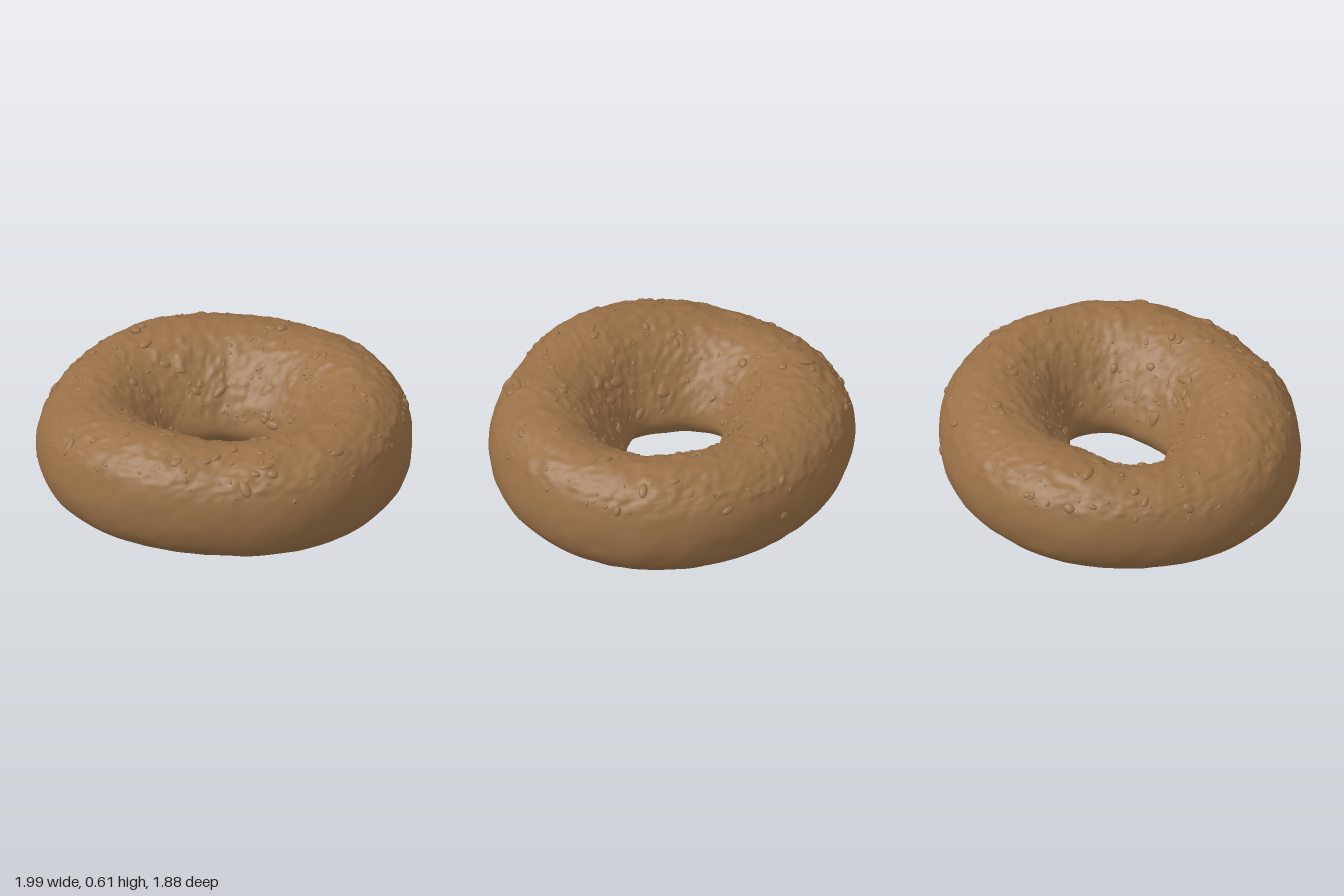
import * as THREE from 'three';
import { mergeGeometries } from 'three/addons/utils/BufferGeometryUtils.js';

// Values every 30 degrees around the ring, starting at +x and turning towards +z
const OUTER = [0.995, 1, 0.98, 0.935, 0.95, 0.995, 0.995, 0.975, 0.975, 0.945, 0.945, 0.97];
const INNER = [0.34, 0.32, 0.25, 0.24, 0.27, 0.26, 0.30, 0.33, 0.25, 0.235, 0.235, 0.28];
const HEIGHT = [0.59, 0.59, 0.585, 0.575, 0.605, 0.56, 0.515, 0.53, 0.565, 0.56, 0.57, 0.59];

// Cross-section: share of the way from hole to rim, share of the height
const PROFILE = new THREE.CatmullRomCurve3([
  [0.15, 0.025], [0.45, 0.015], [0.76, 0.02], [0.86, 0.055], [0.95, 0.18], [1, 0.43],
  [0.965, 0.69], [0.9, 0.83], [0.8, 0.93], [0.63, 1], [0.46, 0.975], [0.3, 0.86],
  [0.16, 0.66], [0.05, 0.44], [0, 0.25], [0.05, 0.11],
].map(([t, h]) => new THREE.Vector3(t, h, 0)), true);

function ringValue(list, u) {
  const n = list.length, f = (((u % 1) + 1) % 1) * n, i = Math.floor(f), k = f - i;
  const [a, b, c, d] = [-1, 0, 1, 2].map((o) => list[(i + o + n) % n]);
  return b + 0.5 * k * (c - a + k * (2 * a - 5 * b + 4 * c - d + k * (3 * (b - c) + d - a)));
}

function seeded(seed) {
  let s = seed;
  return () => {
    s = (s * 1664525 + 1013904223) % 4294967296;
    return s / 4294967296;
  };
}

// Smooth value noise between -1 and 1
function hash(x, y, z) {
  let h = Math.imul(x, 374761393) ^ Math.imul(y, 668265263) ^ Math.imul(z, 1440662683);
  h = Math.imul(h ^ (h >>> 13), 1274126177);
  return ((h ^ (h >>> 16)) >>> 0) / 2147483648 - 1;
}
function noise(p, freq) {
  const c = [p.x * freq, p.y * freq, p.z * freq];
  const i = c.map(Math.floor);
  const w = c.map((v, k) => THREE.MathUtils.smoothstep(v - i[k], 0, 1));
  let sum = 0;
  for (let k = 0; k < 8; k++) {
    const b = [k & 1, (k >> 1) & 1, k >> 2];
    const weight = b.reduce((m, on, j) => m * (on ? w[j] : 1 - w[j]), 1);
    sum += weight * hash(i[0] + b[0], i[1] + b[1], i[2] + b[2]);
  }
  return sum;
}

// The underside lifts slightly towards the back
function basePoint(u, v) {
  const p = PROFILE.getPoint(((v % 1) + 1) % 1);
  const r = THREE.MathUtils.lerp(ringValue(INNER, u), ringValue(OUTER, u), p.x);
  const a = u * Math.PI * 2, z = r * Math.sin(a);
  const lift = 0.025 * Math.max(0, -z) * (1 - p.y);
  return new THREE.Vector3(r * Math.cos(a), p.y * ringValue(HEIGHT, u) + lift, z);
}

function baseNormal(u, v) {
  const e = 0.002;
  const du = basePoint(u + e, v).sub(basePoint(u - e, v));
  const dv = basePoint(u, v + e).sub(basePoint(u, v - e));
  return dv.cross(du).normalize();
}

// Skin: gentle lumps all over, finer bumps on the upper side
function skinPoint(u, v) {
  const p = basePoint(u, v), n = baseNormal(u, v);
  const top = THREE.MathUtils.smoothstep(n.y, 0.1, 0.7);
  const bottom = THREE.MathUtils.smoothstep(-n.y, 0.5, 0.95);
  const lumps = 0.007 * noise(p, 5) * (1 - 0.7 * bottom) + 0.003 * noise(p, 14);
  const bumps = top * (0.012 * Math.max(0, noise(p, 24)) + 0.005 * noise(p, 42));
  p.addScaledVector(n, lumps + bumps);
  p.y = Math.max(0, p.y);
  return p;
}

function ringGeometry(around, across) {
  const positions = [], index = [];
  for (let i = 0; i < around; i++) {
    for (let j = 0; j < across; j++) {
      positions.push(...skinPoint(i / around, j / across).toArray());
      const i2 = (i + 1) % around, j2 = (j + 1) % across;
      const a = i * across + j, b = i * across + j2;
      const c = i2 * across + j2, d = i2 * across + j;
      index.push(a, b, d, b, c, d);
    }
  }
  const g = new THREE.BufferGeometry();
  g.setAttribute('position', new THREE.Float32BufferAttribute(positions, 3));
  g.setIndex(index);
  g.computeVertexNormals();
  return g;
}

// Crumbs: flat pebbles sunk into the skin
function crumbGeometry(count) {
  const rand = seeded(41), list = [];
  const up = new THREE.Vector3(0, 1, 0);
  while (list.length < count) {
    const u = rand(), v = 0.3 + 0.55 * rand();
    const n = baseNormal(u, v);
    if (n.y < 0.35 && rand() > 0.12) continue;
    const size = 0.008 + 0.02 * Math.pow(rand(), 4);
    const scale = new THREE.Vector3(size * (1 + rand()), size * 0.6, size * (0.8 + 0.4 * rand()));
    const turn = new THREE.Quaternion().setFromUnitVectors(up, n)
      .multiply(new THREE.Quaternion().setFromAxisAngle(up, rand() * Math.PI * 2));
    const g = new THREE.SphereGeometry(1, 10, 6);
    g.applyMatrix4(new THREE.Matrix4().compose(skinPoint(u, v), turn, scale));
    list.push(g);
  }
  return mergeGeometries(list);
}

export function createModel() {
  const crust = new THREE.MeshStandardMaterial({ color: 0x997047 });
  crust.name = 'brown crust';

  const group = new THREE.Group();
  group.name = 'ringBread';

  const ring = new THREE.Mesh(ringGeometry(260, 130), crust);
  ring.name = 'breadRing';
  const crumbs = new THREE.Mesh(crumbGeometry(280), crust);
  crumbs.name = 'crumbs';
  group.add(ring, crumbs);
  return group;
}
